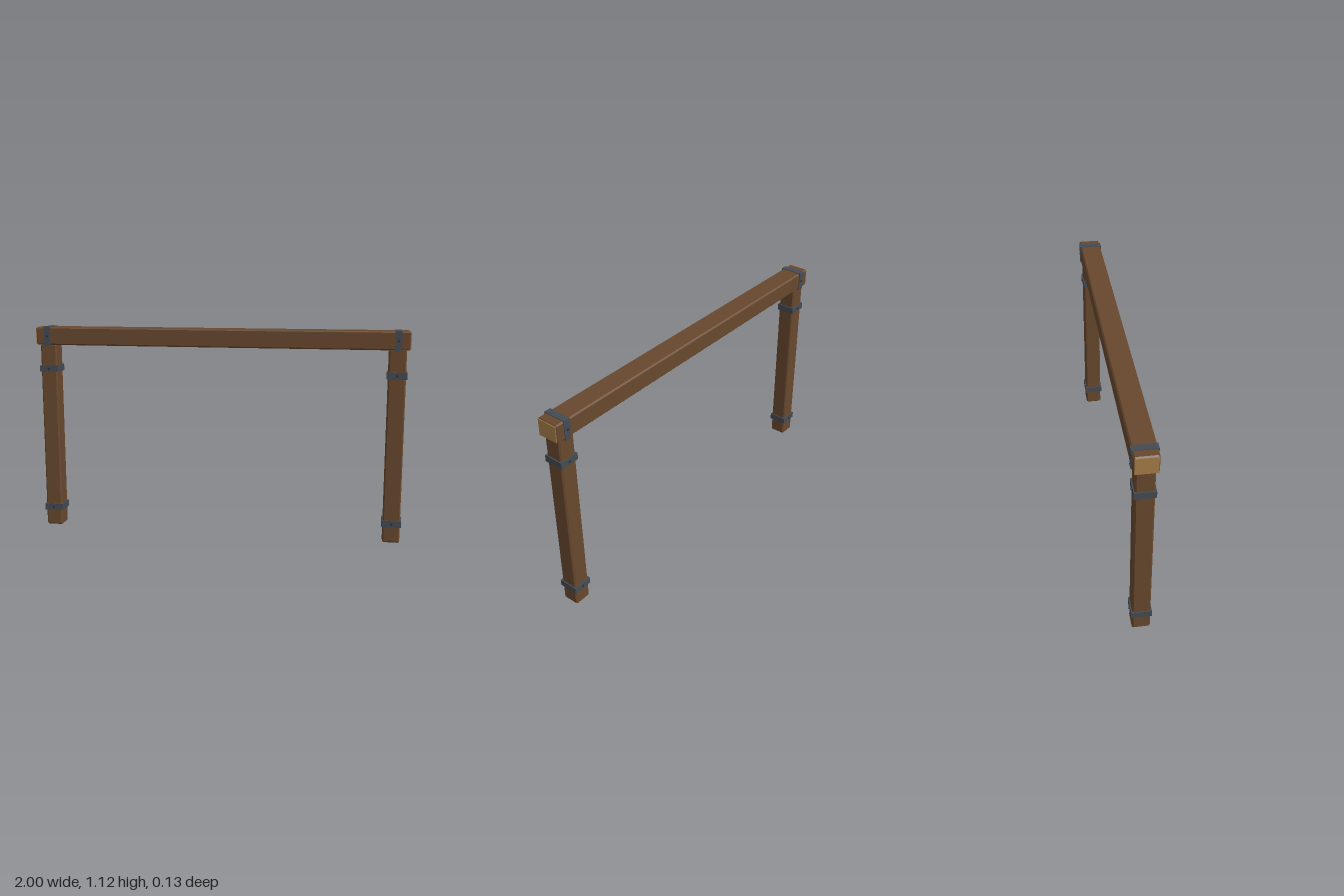
import * as THREE from 'three';

const wood = new THREE.MeshStandardMaterial({ color: 0x68482e, flatShading: true });
const endGrain = new THREE.MeshStandardMaterial({ color: 0xa67c48, flatShading: true });
const iron = new THREE.MeshStandardMaterial({ color: 0x434b52, flatShading: true });
const boltIron = new THREE.MeshStandardMaterial({ color: 0x2c3238 });

// Square timber along z, centred, with every edge chamfered by c
function timber(w, h, length, c) {
  const x = w / 2 - c, y = h / 2 - c;
  const k = c * 0.4; // small corner cut, widened by the bevel
  const s = new THREE.Shape();
  s.moveTo(-x + k, -y);
  [[x - k, -y], [x, -y + k], [x, y - k], [x - k, y], [-x + k, y], [-x, y - k], [-x, -y + k]]
    .forEach(p => s.lineTo(...p));
  s.closePath();
  return new THREE.ExtrudeGeometry(s, {
    depth: length - 2 * c, bevelEnabled: true, bevelSize: c, bevelThickness: c, bevelSegments: 1,
  }).translate(0, 0, -length / 2 + c);
}

// Iron strap around a timber, with a bolt on the front and back
function strap(name, sx, sy, sz, x, y) {
  const g = new THREE.Group();
  g.name = name;
  const band = new THREE.Mesh(new THREE.BoxGeometry(sx, sy, sz), iron);
  band.name = 'band';
  g.add(band);
  for (const side of [1, -1]) {
    const bolt = new THREE.Mesh(new THREE.CylinderGeometry(0.006, 0.007, 0.006, 10), boltIron);
    bolt.name = 'bolt';
    bolt.rotation.x = side * Math.PI / 2;
    bolt.position.z = side * (sz / 2 + 0.001);
    g.add(bolt);
  }
  g.position.set(x, y, 0);
  return g;
}

export function createModel() {
  const model = new THREE.Group();
  model.name = 'timberFrame';

  // Top beam
  const beam = new THREE.Mesh(timber(0.114, 0.096, 1.996, 0.007).rotateY(Math.PI / 2), wood);
  beam.name = 'beam';
  beam.position.y = 1.066;
  model.add(beam);

  for (const side of [1, -1]) {
    const x = side * 0.935;

    // Pale cut face at the beam end
    const cap = new THREE.Mesh(new THREE.BoxGeometry(0.004, 0.085, 0.105), endGrain);
    cap.name = 'beamEnd';
    cap.position.set(side * 0.998, 1.066, 0);
    model.add(cap);

    // Post
    const post = new THREE.Mesh(timber(0.09, 0.09, 1.022, 0.007).rotateX(Math.PI / 2), wood);
    post.name = 'post';
    post.position.set(x, 0.511, 0);
    model.add(post);

    // Straps
    model.add(strap('beamStrap', 0.036, 0.102, 0.121, x, 1.066));
    for (const y of [0.103, 0.887]) model.add(strap('postStrap', 0.102, 0.035, 0.102, x, y));
  }
  return model;
}
